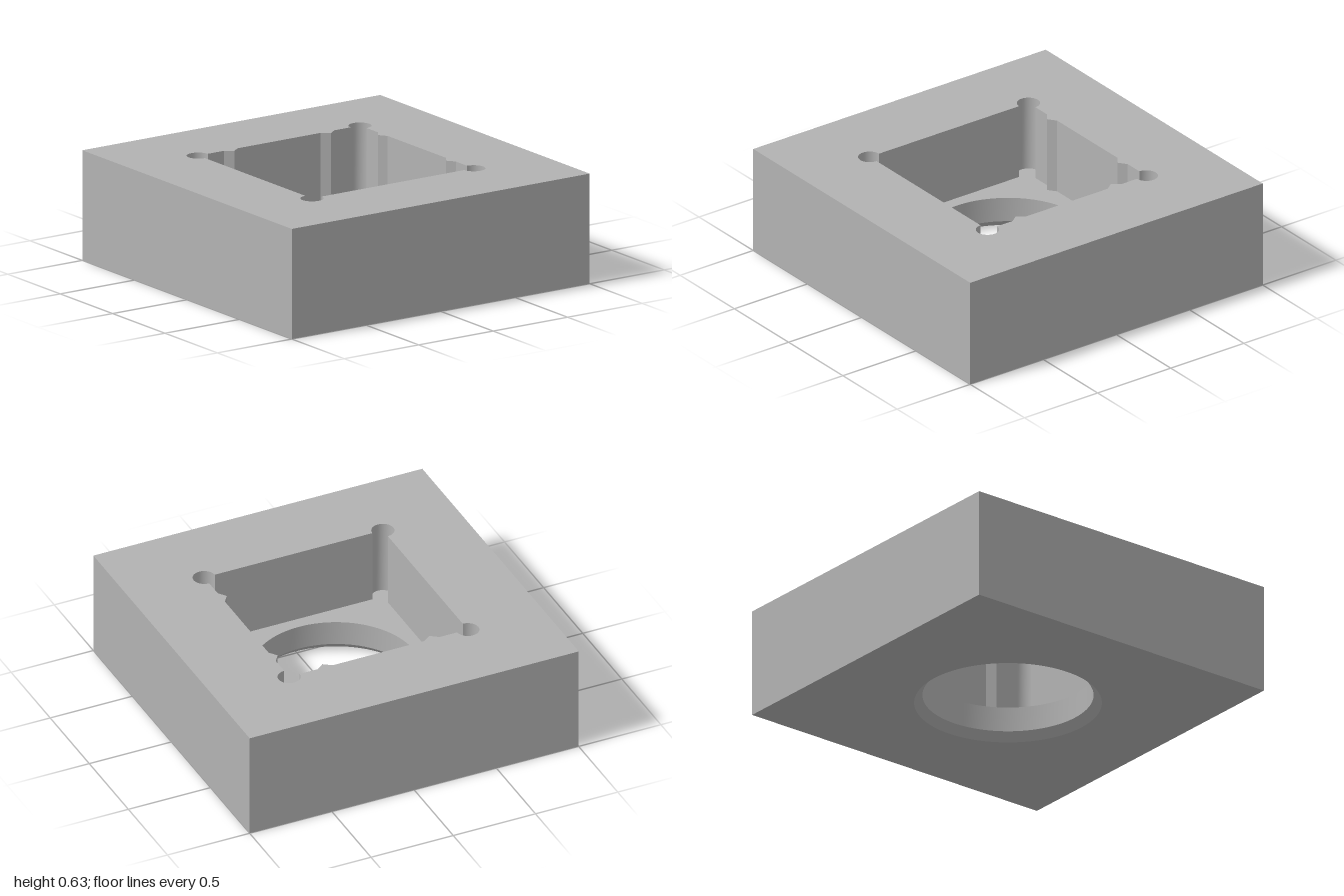
import * as THREE from 'three';
import { toCreasedNormals } from 'three/addons/utils/BufferGeometryUtils.js';

const H = 0.627;       // block height
const FLOOR = 0.19;    // pocket floor height
const P = 0.543;       // half width of the pocket
const R = 0.064;       // corner relief radius
const BORE = 0.47;     // through hole radius
const CHAMFER = 0.046; // countersink at the underside

// Plan outlines are drawn with shape x = x and shape y = -z.
function pocketPoints() {
  const pts = [];
  const corners = [[1, 1], [-1, 1], [-1, -1], [1, -1]];
  corners.forEach(([sx, sy], i) => {
    // three-quarter round relief at each corner
    const start = (i - 1) * Math.PI / 2;
    for (let k = 0; k <= 24; k++) {
      const a = start + (k / 24) * 1.5 * Math.PI;
      pts.push(new THREE.Vector2(sx * P + R * Math.cos(a), sy * P + R * Math.sin(a)));
    }
    // pointed crush ribs on the back wall (i = 0) and the right wall (i = 1)
    if (i > 1) return;
    for (const c of [0.325, -0.325]) {
      for (const [d, depth] of [[0.046, 0], [0, 0.034], [-0.046, 0]]) {
        const along = c + d, across = P - depth;
        pts.push(i === 0 ? new THREE.Vector2(along, across) : new THREE.Vector2(-across, along));
      }
    }
  });
  return pts;
}

// Vertical wall through a closed outline; a counter-clockwise outline faces outward.
function wall(points, y0, y1) {
  const pos = [];
  points.forEach((a, i) => {
    const b = points[(i + 1) % points.length];
    pos.push(a.x, y0, -a.y, b.x, y0, -b.y, b.x, y1, -b.y);
    pos.push(a.x, y0, -a.y, b.x, y1, -b.y, a.x, y1, -a.y);
  });
  const g = new THREE.BufferGeometry();
  g.setAttribute('position', new THREE.Float32BufferAttribute(pos, 3));
  g.computeVertexNormals();
  return toCreasedNormals(g, 0.5);
}

// Horizontal face with a hole, turned up or down.
function face(outline, hole, y, up = true) {
  const shape = new THREE.Shape(outline);
  shape.holes.push(new THREE.Path(hole));
  const g = new THREE.ShapeGeometry(shape);
  if (!up) {
    const idx = g.index.array;
    for (let i = 0; i < idx.length; i += 3) [idx[i], idx[i + 1]] = [idx[i + 1], idx[i]];
  }
  g.rotateX(-Math.PI / 2).translate(0, y, 0);
  g.computeVertexNormals();
  return g;
}

const circle = (r) => Array.from({ length: 96 }, (_, i) => {
  const a = (i / 96) * Math.PI * 2;
  return new THREE.Vector2(r * Math.cos(a), r * Math.sin(a));
});

export function createModel() {
  const group = new THREE.Group();
  group.name = 'pocketedBlock';
  const grey = new THREE.MeshStandardMaterial({ color: 0xb2b2b2 });
  grey.name = 'plainGrey';
  const add = (name, geometry) => {
    const mesh = new THREE.Mesh(geometry, grey);
    mesh.name = name;
    group.add(mesh);
  };

  const square = [[1, 1], [-1, 1], [-1, -1], [1, -1]].map(([x, y]) => new THREE.Vector2(x, y));
  const pocket = pocketPoints();

  // outer block
  add('outerWalls', wall(square, 0, H));
  add('topFace', face(square, pocket, H));
  add('bottomFace', face(square, circle(BORE + CHAMFER), 0, false));

  // square pocket with corner reliefs and ribs
  add('pocketWalls', wall([...pocket].reverse(), FLOOR, H));
  add('pocketFloor', face(pocket, circle(BORE), FLOOR));

  // round through hole with a chamfered lower rim
  add('boreWall', wall(circle(BORE).reverse(), CHAMFER, FLOOR));
  const rim = new THREE.LatheGeometry(
    [new THREE.Vector2(BORE, CHAMFER), new THREE.Vector2(BORE + CHAMFER, 0)], 96, Math.PI / 2);
  add('boreChamfer', rim);
  return group;
}
